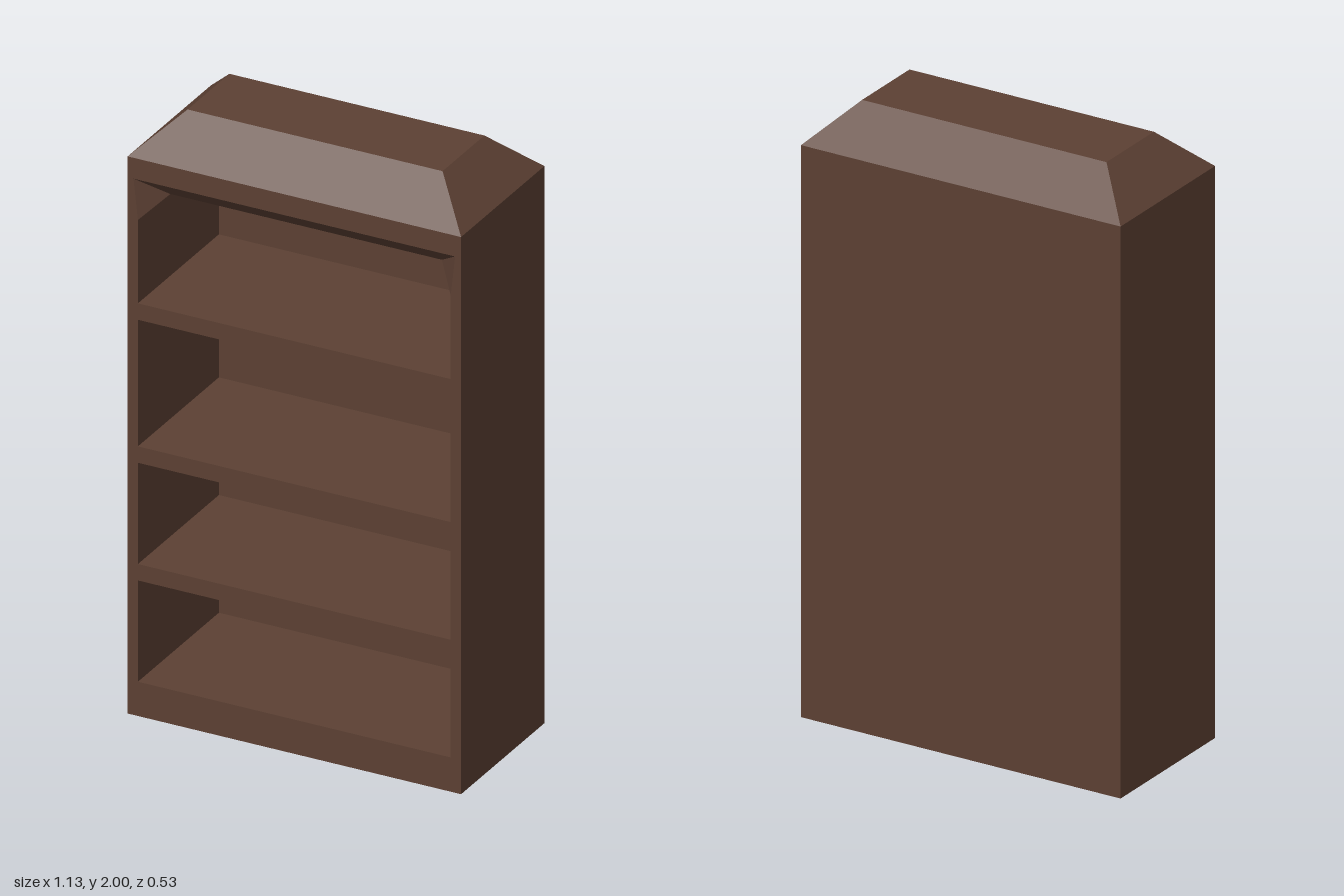
import * as THREE from 'three';

const W = 0.565, D = 0.265, BODY_H = 1.87, BACK = -0.25;
const IN = 0.53; // half width of the inside

// closed polygon from [x, y] points
const polygon = (Type, pts) => new Type(pts.map(([x, y]) => new THREE.Vector2(x, y)));

export function createModel() {
  const group = new THREE.Group();
  const wood = new THREE.MeshStandardMaterial({ color: 0x5c4033 });
  wood.name = 'dark brown wood';

  const add = (name, geometry) => {
    const mesh = new THREE.Mesh(geometry, wood);
    mesh.name = name;
    group.add(mesh);
    return mesh;
  };

  // Frame with shelves: rectangle with one opening per compartment
  const frame = polygon(THREE.Shape, [[-W, 0], [W, 0], [W, BODY_H], [-W, BODY_H]]);
  for (const [lo, hi] of [[0.115, 0.455], [0.51, 0.85], [0.905, 1.33]]) {
    frame.holes.push(polygon(THREE.Path, [[-IN, lo], [-IN, hi], [IN, hi], [IN, lo]]));
  }
  frame.holes.push(polygon(THREE.Path, [
    [-IN, 1.385], [-IN, 1.665], [-0.545, 1.8], [0.545, 1.8], [IN, 1.665], [IN, 1.385],
  ]));
  const frameGeo = new THREE.ExtrudeGeometry(frame, { depth: D - BACK, bevelEnabled: false });
  add('frameAndShelves', frameGeo.translate(0, 0, BACK));

  // Back panel
  add('backPanel', new THREE.BoxGeometry(2 * W, BODY_H, D + BACK))
    .position.set(0, BODY_H / 2, (BACK - D) / 2);

  // Bevelled top: a box with its upper corners drawn in
  const top = new THREE.BoxGeometry(2 * W, 2 - BODY_H, 2 * D);
  const p = top.attributes.position;
  for (let i = 0; i < p.count; i++) {
    if (p.getY(i) > 0) {
      p.setX(i, Math.sign(p.getX(i)) * 0.432);
      p.setZ(i, Math.sign(p.getZ(i)) * 0.133);
    }
  }
  top.computeVertexNormals();
  add('bevelledTop', top).position.y = (2 + BODY_H) / 2;

  // Sloped ceiling of the top compartment, facing down and inward
  const F = (s) => [s * 0.545, 1.8, D];        // front upper corner
  const S = (s) => [s * IN, 1.665, D];         // front end of side wall
  const R = (s) => [s * 0.46, 1.735, 0.19];    // front ridge
  const Q = (s) => [s * 0.46, 1.735, BACK + 0.07]; // rear ridge
  const B = (s) => [s * IN, 1.665, BACK];      // rear end of side wall
  const verts = [];
  const face = (...c) => {
    for (let i = 1; i < c.length - 1; i++) verts.push(...c[0], ...c[i], ...c[i + 1]);
  };
  face(R(-1), R(1), F(1), F(-1));
  face(Q(-1), Q(1), R(1), R(-1));
  face(B(-1), B(1), Q(1), Q(-1));
  face(S(-1), B(-1), Q(-1), R(-1));
  face(S(-1), R(-1), F(-1));
  face(R(1), Q(1), B(1), S(1));
  face(F(1), R(1), S(1));
  const ceiling = new THREE.BufferGeometry();
  ceiling.setAttribute('position', new THREE.Float32BufferAttribute(verts, 3));
  ceiling.computeVertexNormals();
  add('slopedCeiling', ceiling);

  return group;
}
